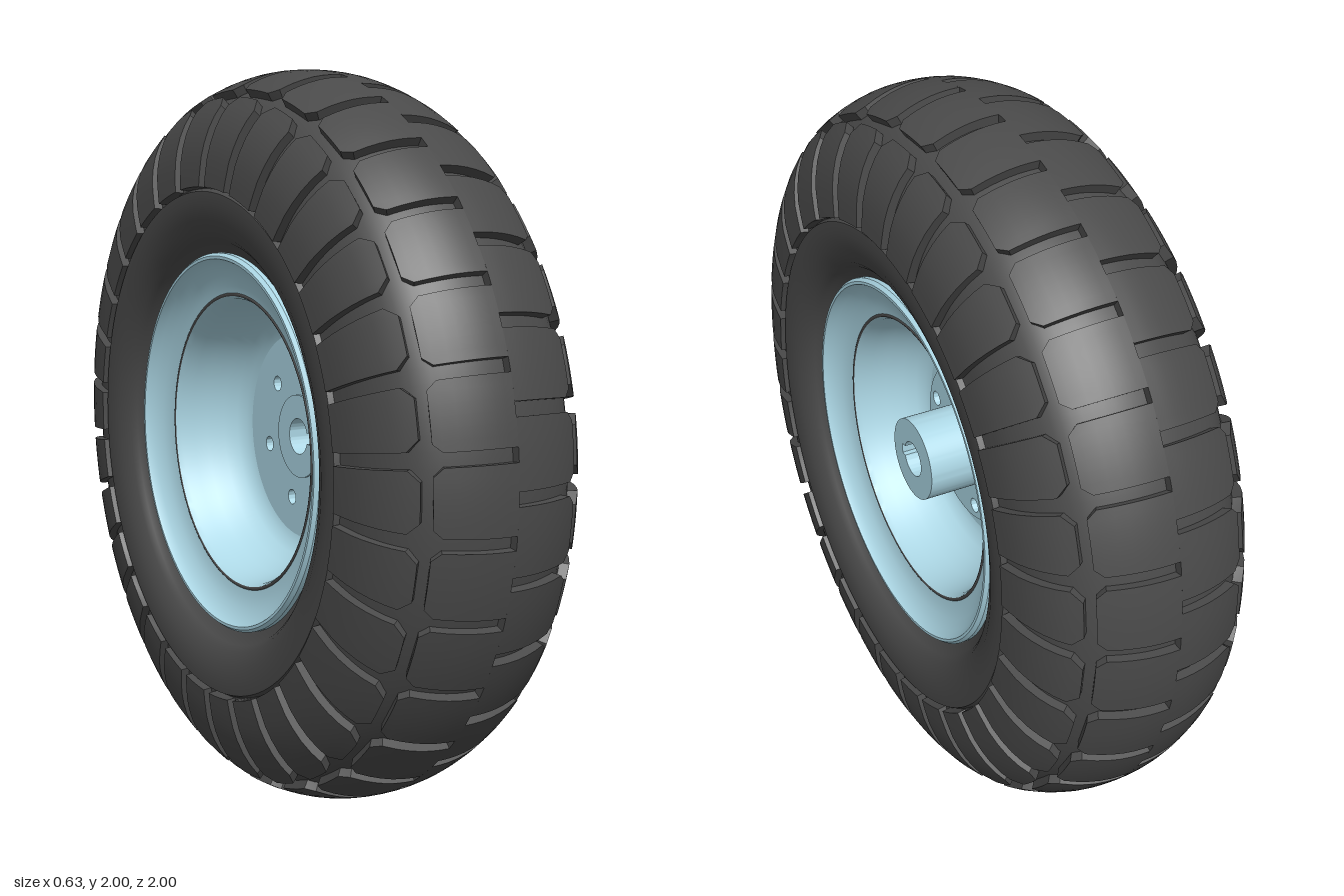
import * as THREE from 'three';
import { mergeGeometries, toCreasedNormals } from 'three/addons/utils/BufferGeometryUtils.js';

const LUGS = 30;
const PITCH = (Math.PI * 2) / LUGS;
const DEPTH = 0.024;

// Outer tread profile as (x, radius), mirrored about the centre line
const half = [[0.1, 0.988], [0.2, 0.945], [0.265, 0.875], [0.302, 0.785], [0.315, 0.69]];
const profile = new THREE.SplineCurve([
  ...half.map(([x, r]) => new THREE.Vector2(-x, r)).reverse(),
  new THREE.Vector2(0, 1),
  ...half.map(([x, r]) => new THREE.Vector2(x, r)),
]);

// Point on the tread profile, sunk below it by a depth
function profileAt(u, depth) {
  const p = profile.getPointAt(u), t = profile.getTangentAt(u);
  return new THREE.Vector2(p.x + t.y * depth, p.y - t.x * depth);
}

// Revolve (x, radius) points around the x axis
function revolve(points, segments = 120, crease = 0.5) {
  const g = new THREE.LatheGeometry(points.map(([x, r]) => new THREE.Vector2(r, x)), segments);
  g.rotateZ(-Math.PI / 2);
  return toCreasedNormals(g, crease);
}

// One curved lug between two profile parameters, with chamfered corners
function lugGeometry(u0, u1, width, chamferStart, chamferEnd, side) {
  const stations = [0, 0.12, 0.25, 0.4, 0.55, 0.7, 0.88, 1];
  const cols = 6, ring = cols + 3, pos = [], idx = [];
  stations.forEach((f, i) => {
    const u = u0 + (u1 - u0) * f;
    let w = width / 2;
    if (i === 0) w -= chamferStart;
    if (i === stations.length - 1) w -= chamferEnd;
    const top = profileAt(u, 0), low = profileAt(u, DEPTH + 0.008);
    const put = (p, a) => pos.push(side * p.x, p.y * Math.cos(a), p.y * Math.sin(a));
    put(low, -w);
    for (let c = 0; c <= cols; c++) put(top, -w + (2 * w * c) / cols);
    put(low, w);
  });
  const tri = (a, b, c) => (side > 0 ? idx.push(a, b, c) : idx.push(a, c, b));
  for (let i = 0; i < stations.length - 1; i++) {
    for (let j = 0; j < ring - 1; j++) {
      const a = i * ring + j, b = a + ring;
      tri(a, a + 1, b);
      tri(a + 1, b + 1, b);
    }
  }
  const last = (stations.length - 1) * ring;
  for (let j = 1; j < ring - 1; j++) {
    tri(0, j + 1, j);
    tri(last, last + j, last + j + 1);
  }
  const g = new THREE.BufferGeometry();
  g.setAttribute('position', new THREE.Float32BufferAttribute(pos, 3));
  g.setIndex(idx);
  return toCreasedNormals(g, 0.5);
}

// Repeat a lug all the way round the wheel
function lugRow(lug, offset) {
  const all = [];
  for (let i = 0; i < LUGS; i++) all.push(lug.clone().rotateX(offset + i * PITCH));
  return mergeGeometries(all);
}

const circle = (x, y, r) => new THREE.Path().absarc(x, y, r, 0, Math.PI * 2, true);

// Round plate across the axle, from x0 to x1, with the given holes
function plate(radius, holes, x0, x1) {
  const s = new THREE.Shape().absarc(0, 0, radius, 0, Math.PI * 2, false);
  s.holes.push(...holes);
  const g = new THREE.ExtrudeGeometry(s, { depth: x1 - x0, bevelEnabled: false, curveSegments: 48 });
  g.translate(0, 0, x0).rotateY(Math.PI / 2);
  return toCreasedNormals(g, 0.5);
}

export function createModel() {
  const model = new THREE.Group();
  const wheel = new THREE.Group();
  wheel.name = 'wheel';
  wheel.position.y = 1;
  model.add(wheel);

  const rubber = new THREE.MeshStandardMaterial({ color: 0x4a4a4a });
  const rubberShell = new THREE.MeshStandardMaterial({ color: 0x4a4a4a, side: THREE.DoubleSide });
  const paint = new THREE.MeshStandardMaterial({ color: 0xadd8e6 });
  const paintShell = new THREE.MeshStandardMaterial({ color: 0xadd8e6, side: THREE.DoubleSide });
  const add = (name, geometry, material) => {
    const m = new THREE.Mesh(geometry, material);
    m.name = name;
    wheel.add(m);
    return m;
  };

  // Tyre carcass: groove floor, sidewalls and beads
  const wall = [[0.305, 0.68], [0.306, 0.65], [0.298, 0.605], [0.28, 0.565], [0.265, 0.55], [0.25, 0.54], [0.23, 0.5]];
  const floor = [];
  for (let i = 0; i <= 36; i++) floor.push(profileAt(i / 36, DEPTH).toArray());
  add('tyreCarcass', revolve([
    ...wall.map(([x, r]) => [-x, r]).reverse(), ...floor, ...wall,
  ], 150, 0.7), rubberShell);

  // Tread lugs, the two sides staggered by half a pitch
  for (const side of [1, -1]) {
    const tag = side > 0 ? 'left' : 'right';
    const offset = side > 0 ? 0 : PITCH / 2;
    add(tag + 'CentreLugs', lugRow(lugGeometry(0.5, 0.71, PITCH - 0.036, 0, 0.022, side), offset), rubber);
    add(tag + 'ShoulderLugs', lugRow(lugGeometry(0.74, 0.998, PITCH - 0.045, 0.03, 0, side), offset), rubber);
  }

  // Rim halves: rolled lip, shelf, seam and dished bowl
  const rim = [
    [0.19, 0.47], [0.215, 0.505], [0.235, 0.516], [0.252, 0.516], [0.262, 0.508], [0.262, 0.5],
    [0.256, 0.497], [0.24, 0.482], [0.222, 0.455], [0.212, 0.425], [0.209, 0.407],
    [0.195, 0.407], [0.195, 0.398], [0.209, 0.398], [0.195, 0.39], [0.16, 0.382], [0.12, 0.372],
    [0.075, 0.352], [0.042, 0.33], [0.022, 0.308], [0.015, 0.285],
  ];
  for (const side of [1, -1]) {
    const tag = side > 0 ? 'left' : 'right';
    add(tag + 'Rim', revolve(rim.map(([x, r]) => [side * x, r]), 120, 0.6), paintShell);
    const seam = new THREE.TorusGeometry(0.4025, 0.0055, 8, 120).rotateY(Math.PI / 2);
    add(tag + 'RimSeam', seam.translate(side * 0.206, 0, 0), rubber);
  }

  // Centre disc and bolted flange with six bolt holes
  const boltHoles = () => Array.from({ length: 6 }, (_, i) => {
    const a = Math.PI / 4 + (i * Math.PI) / 3;
    return circle(0.187 * Math.cos(a), 0.187 * Math.sin(a), 0.021);
  });
  add('centreDisc', plate(0.295, [circle(0, 0, 0.1), ...boltHoles()], -0.0152, 0.0152), paint);
  add('hubFlange', plate(0.224, [circle(0, 0, 0.1), ...boltHoles()], 0.015, 0.05), paint);

  // Hub sleeve with keyed bore
  const k = Math.asin(0.015 / 0.05);
  const bore = new THREE.Path().absarc(0, 0, 0.05, -Math.PI + k, Math.PI - k, false);
  bore.lineTo(-0.064, 0.015);
  bore.lineTo(-0.064, -0.015);
  bore.closePath();
  add('hubSleeve', plate(0.116, [bore], -0.022, 0.215), paint);

  // Set screw on the underside of the sleeve
  const screw = add('setScrew', new THREE.CylinderGeometry(0.016, 0.016, 0.01, 24), paint);
  screw.position.set(0.14, -0.113, 0);

  return model;
}
